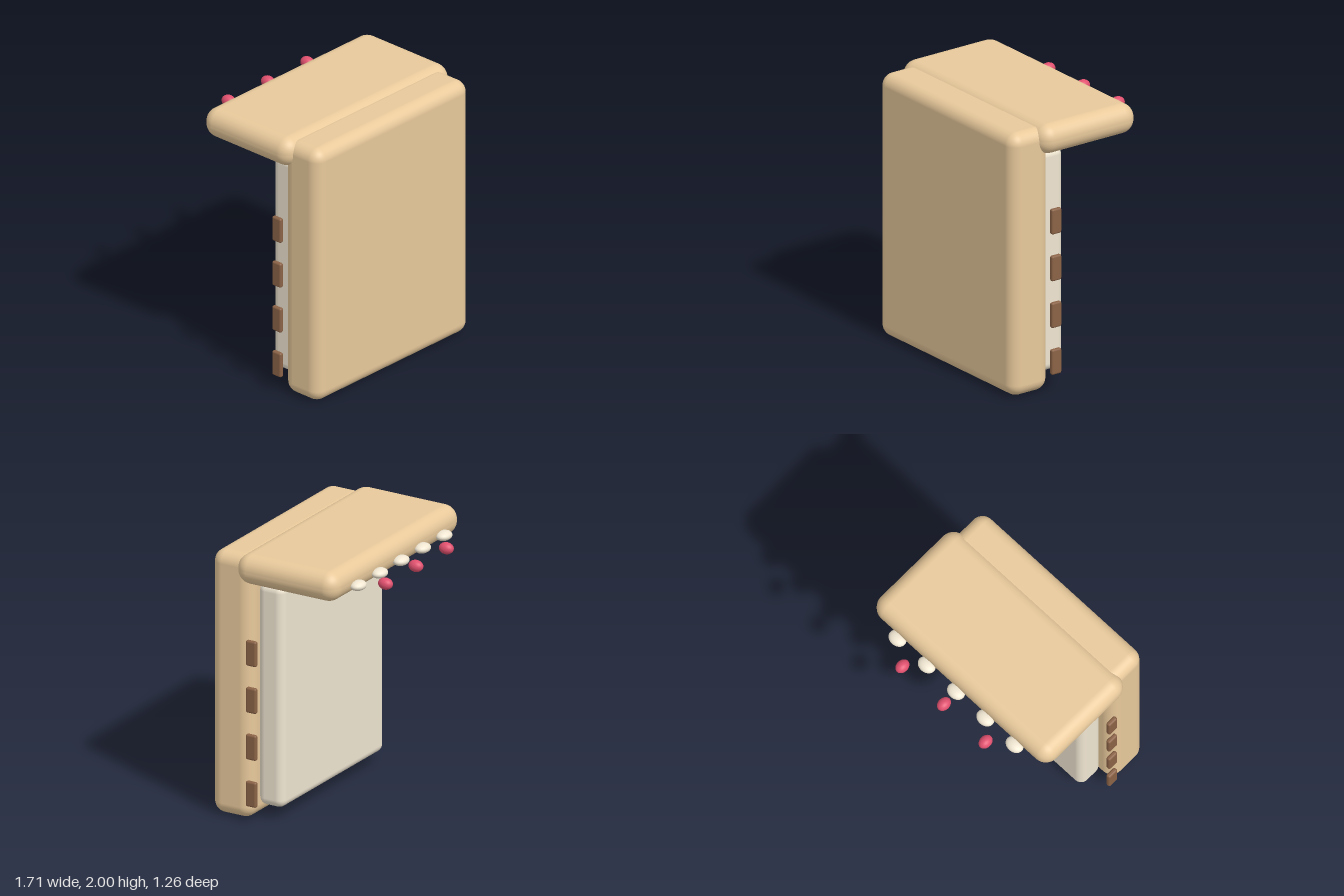
import * as THREE from 'three';
import { RoundedBoxGeometry } from 'three/addons/geometries/RoundedBoxGeometry.js';

const material = (color) => new THREE.MeshStandardMaterial({ color });

export function createModel() {
  const group = new THREE.Group();
  const tan = material(0xe8c99b);
  const cream = material(0xf0e6d2);
  const brown = material(0x8b6347);
  const pink = material(0xe0506e);

  const add = (name, geometry, mat, x, y, z) => {
    const mesh = new THREE.Mesh(geometry, mat);
    mesh.name = name;
    mesh.position.set(x, y, z);
    group.add(mesh);
    return mesh;
  };

  // Upright slab, overhanging top and inset back panel
  add('body', new RoundedBoxGeometry(1.58, 1.975, 0.33, 6, 0.09), tan, 0, 0.9875, 0.465);
  add('topFlap', new RoundedBoxGeometry(1.71, 0.222, 0.835, 6, 0.105), tan, 0, 1.889, -0.0125);
  add('backPanel', new RoundedBoxGeometry(1.37, 1.67, 0.21, 5, 0.06), cream, 0, 0.925, 0.205);

  // Four small tabs along each side
  const tab = new RoundedBoxGeometry(0.035, 0.19, 0.085, 3, 0.014);
  for (const side of [-1, 1]) {
    for (let i = 0; i < 4; i++) {
      add('sideTab', tab, brown, side * 0.815, 0.22 + i * 0.352, 0.273);
    }
  }

  // Flattened beads along the edge of the flap
  const ball = new THREE.SphereGeometry(1, 24, 16);
  for (let i = -2; i <= 2; i++) {
    add('edgeBead', ball, cream, i * 0.285, 1.855, -0.453).scale.set(0.07, 0.035, 0.056);
  }

  // Pink drops floating beyond the beads
  for (let i = -1; i <= 1; i++) {
    add('drop', ball, pink, i * 0.405, 1.838, -0.575).scale.set(0.043, 0.043, 0.056);
  }

  return group;
}
